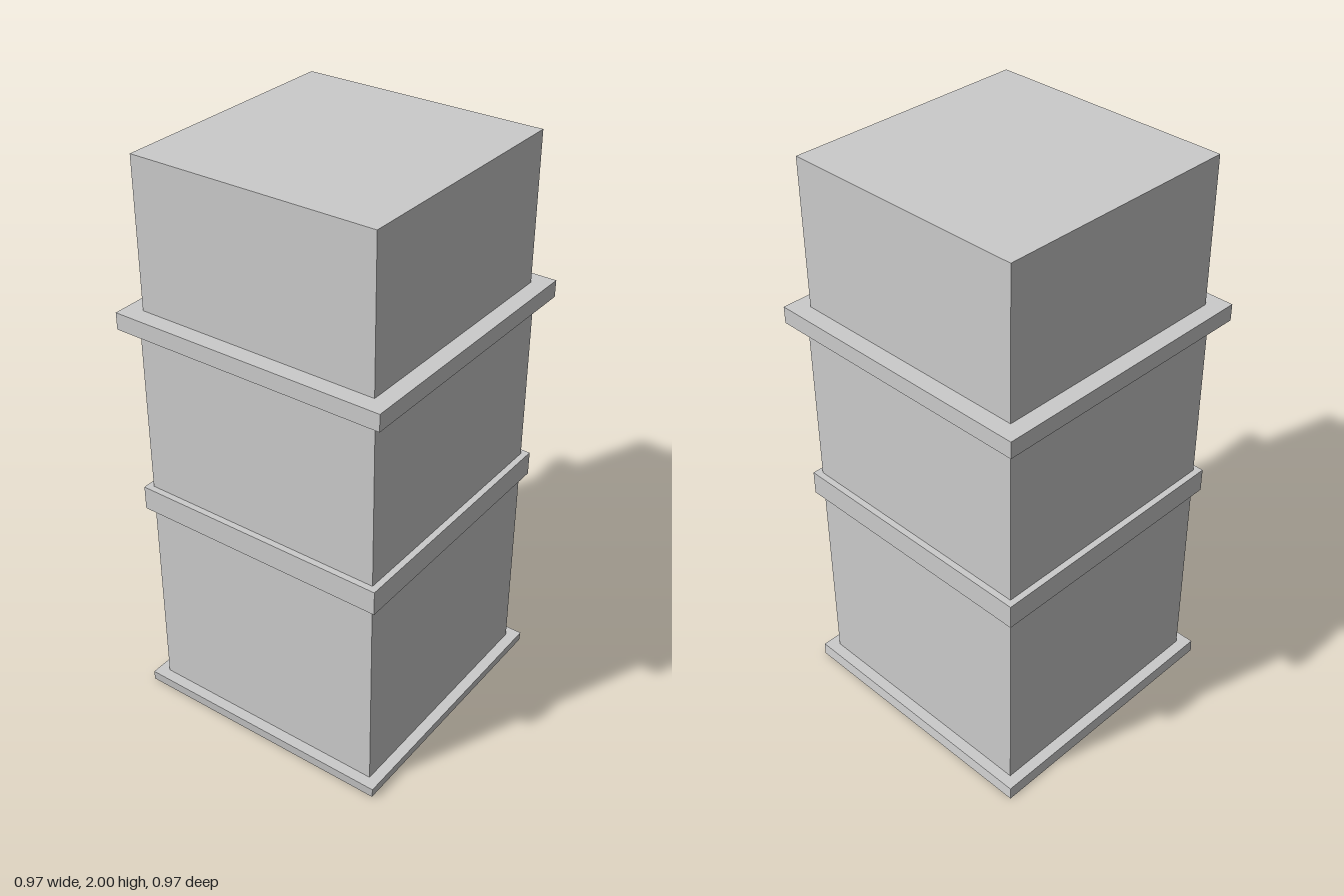
import * as THREE from 'three';

const material = new THREE.MeshStandardMaterial({
  color: 0xcccccc, flatShading: true, side: THREE.DoubleSide,
});

// Square shell: a four-sided lathe through [half width, height] points, bottom to top
function squareShell(name, profile) {
  const points = profile.map(([half, y]) => new THREE.Vector2(half * Math.SQRT2, y));
  const indexed = new THREE.LatheGeometry(points, 4, Math.PI / 4);
  const geometry = indexed.toNonIndexed();
  geometry.computeVertexNormals();
  const mesh = new THREE.Mesh(geometry, material);
  mesh.name = name;
  return mesh;
}

export function createModel() {
  const group = new THREE.Group();
  group.name = 'squarePillar';

  const SHAFT = 0.437, CAP = 0.428;

  // Plinth: open underneath, its foot very slightly sheared
  const plinth = squareShell('plinth', [[0.476, 0], [0.476, 0.04], [SHAFT, 0.04]]);
  const pos = plinth.geometry.attributes.position;
  for (let i = 0; i < pos.count; i++) {
    if (pos.getY(i) < 0.01) pos.setXYZ(i, pos.getX(i) + 0.005, 0, pos.getZ(i) - 0.005);
  }
  plinth.geometry.computeVertexNormals();

  group.add(
    plinth,
    // Shafts and projecting collars form one hollow skin
    squareShell('lowerShaft', [[SHAFT, 0.04], [SHAFT, 0.76]]),
    squareShell('middleCollar', [[SHAFT, 0.76], [0.459, 0.76], [0.459, 0.845], [SHAFT, 0.845]]),
    squareShell('upperShaft', [[SHAFT, 0.845], [SHAFT, 1.437]]),
    squareShell('upperCollar', [[SHAFT, 1.437], [0.486, 1.437], [0.486, 1.495], [CAP, 1.495]]),
    // Top block with closed roof
    squareShell('topBlock', [[CAP, 1.495], [CAP, 2], [0, 2]]),
  );
  return group;
}
